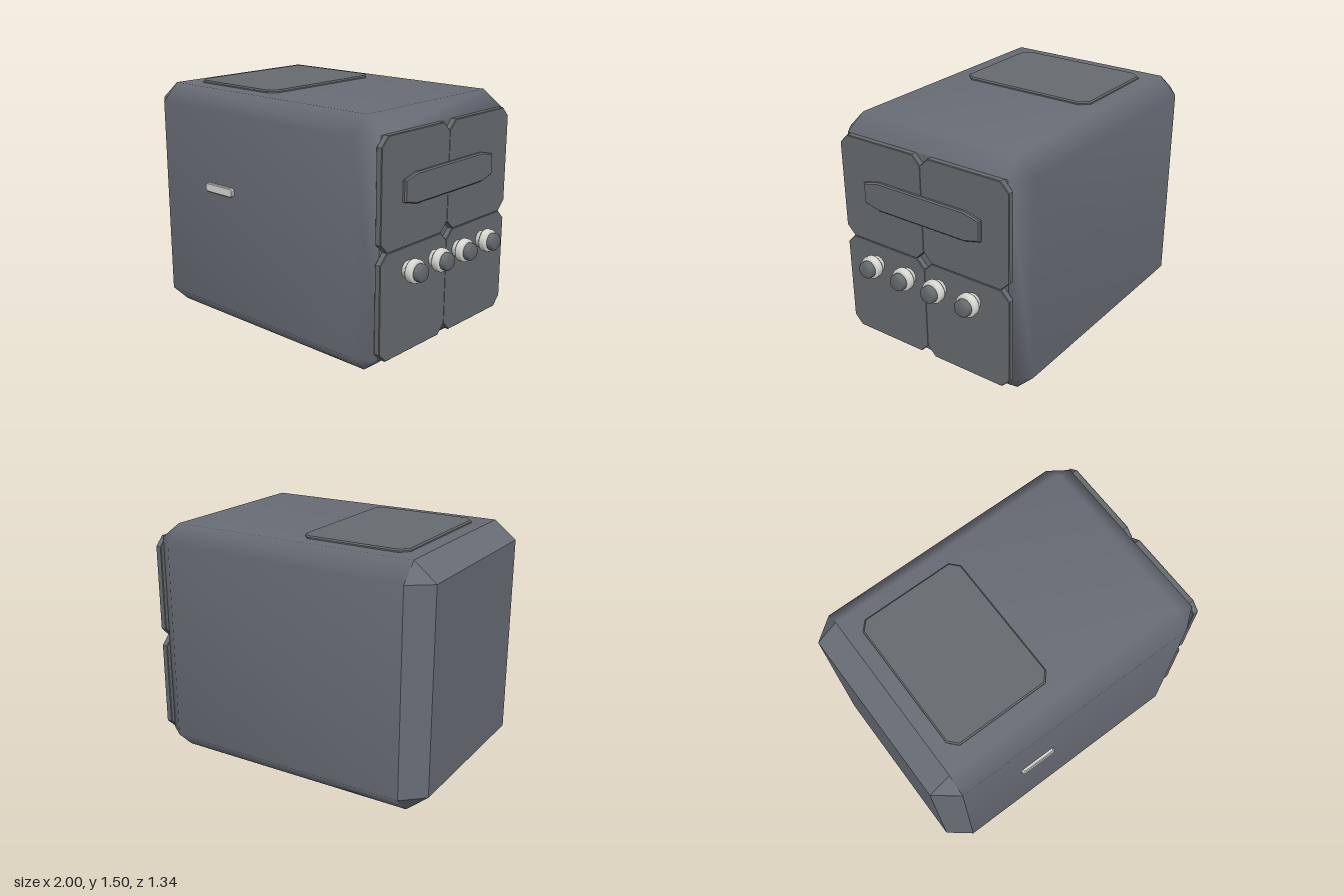
import * as THREE from 'three';
import { mergeVertices } from 'three/addons/utils/BufferGeometryUtils.js';

const bodyMat = new THREE.MeshStandardMaterial({ name: 'slate grey', color: 0x686c75 });
const panelMat = new THREE.MeshStandardMaterial({ name: 'panel grey', color: 0x666b6f });
const lightMat = new THREE.MeshStandardMaterial({ name: 'light grey', color: 0xd8d8d4 });

function add(parent, name, geometry, material) {
  const mesh = new THREE.Mesh(geometry, material);
  mesh.name = name;
  parent.add(mesh);
  return mesh;
}

// Eight-point ring in the y-z plane, counter-clockwise about +x; cut 0 gives a rectangle
function ring(x, y0, y1, z0, z1, cut) {
  return [
    [y1, z0 + cut], [y1, z1 - cut], [y1 - cut, z1], [y0 + cut, z1],
    [y0, z1 - cut], [y0, z0 + cut], [y0 + cut, z0], [y1 - cut, z0],
  ].map(([y, z]) => [x, y, z]);
}

// Skin joining rings placed along x
function loft(rings, smooth) {
  const pos = [];
  for (let r = 0; r < rings.length - 1; r++) {
    const a = rings[r], b = rings[r + 1];
    for (let i = 0; i < 8; i++) {
      const j = (i + 1) % 8;
      for (const tri of [[a[i], a[j], b[j]], [a[i], b[j], b[i]]]) {
        const distinct = new Set(tri.map((p) => p.join()));
        if (distinct.size === 3) pos.push(...tri.flat());
      }
    }
  }
  let geo = new THREE.BufferGeometry();
  geo.setAttribute('position', new THREE.Float32BufferAttribute(pos, 3));
  if (smooth) geo = mergeVertices(geo);
  geo.computeVertexNormals();
  return geo;
}

// Flat plate with cut corners and a slim bevel, facing +z from z = 0
function plate(w, h, cx, cy, depth, bevel = 0.008) {
  const a = w / 2 - bevel, b = h / 2 - bevel;
  const shape = new THREE.Shape([
    [a, b - cy], [a - cx, b], [cx - a, b], [-a, b - cy],
    [-a, cy - b], [cx - a, -b], [a - cx, -b], [a, cy - b],
  ].map((p) => new THREE.Vector2(...p)));
  return new THREE.ExtrudeGeometry(shape, {
    depth: depth - bevel, bevelEnabled: true, bevelSegments: 1,
    bevelSize: bevel, bevelThickness: bevel,
  });
}

export function createModel() {
  const model = new THREE.Group();
  model.name = 'cabinet';

  // Chamfered housing: smooth shell, crisp far end and closing caps
  const end = ring(-1, 0.12, 1.37, -0.565, 0.54, 0);
  const back = ring(-0.86, 0, 1.48, -0.67, 0.65, 0.11);
  const front = ring(0.73, 0, 1.48, -0.67, 0.65, 0.11);
  const face = ring(0.845, 0.1, 1.385, -0.58, 0.56, 0);
  add(model, 'housing', loft([back, front, face], true), bodyMat);
  add(model, 'endChamfer', loft([end, back], false), bodyMat);

  const endCap = add(model, 'endCap', new THREE.PlaneGeometry(1.105, 1.25), bodyMat);
  endCap.rotation.y = -Math.PI / 2;
  endCap.position.set(-1, 0.745, -0.0125);
  const faceCap = add(model, 'faceCap', new THREE.PlaneGeometry(1.14, 1.285), bodyMat);
  faceCap.rotation.y = Math.PI / 2;
  faceCap.position.set(0.845, 0.7425, -0.01);

  // Control panel: four cut-corner tiles leaving a diamond in the middle
  const control = new THREE.Group();
  control.name = 'controlPanel';
  control.rotation.y = Math.PI / 2;
  control.position.set(0.845, 0, -0.01);
  model.add(control);
  for (const side of [-1, 1]) {
    for (const [y, h] of [[0.415, 0.64], [1.06, 0.65]]) {
      const tile = add(control, 'panelTile', plate(0.604, h, 0.055, 0.055, 0.035, 0.004), panelMat);
      tile.position.set(side * 0.3, y, 0);
    }
  }
  const display = add(control, 'display', plate(0.84, 0.18, 0.1, 0.025, 0.03), panelMat);
  display.position.set(0, 1.06, 0.026);

  // Knobs: light collar with a dark button
  const collar = [
    [0.05, 0], [0.05, 0.03], [0.068, 0.034], [0.07, 0.04],
    [0.07, 0.07], [0.066, 0.076], [0.052, 0.08], [0.048, 0.08],
  ].map((p) => new THREE.Vector2(...p));
  const button = [
    [0.052, 0.07], [0.052, 0.108], [0.043, 0.12], [0, 0.12],
  ].map((p) => new THREE.Vector2(...p));
  for (const z of [0.355, 0.11, -0.12, -0.365]) {
    const knob = new THREE.Group();
    knob.name = 'knob';
    knob.rotation.z = -Math.PI / 2;
    knob.position.set(0.88, 0.6, z);
    add(knob, 'collar', new THREE.LatheGeometry(collar, 20), lightMat);
    add(knob, 'button', new THREE.LatheGeometry(button, 16), panelMat);
    model.add(knob);
  }

  // Top lid
  const lid = add(model, 'lid', plate(0.68, 0.91, 0.045, 0.05, 0.02), panelMat);
  lid.rotation.x = -Math.PI / 2;
  lid.position.set(-0.43, 1.476, -0.015);

  // Front handle
  const handle = add(model, 'handle', plate(0.24, 0.056, 0.01, 0.01, 0.024, 0.005), lightMat);
  handle.position.set(-0.34, 0.888, 0.646);

  return model;
}
